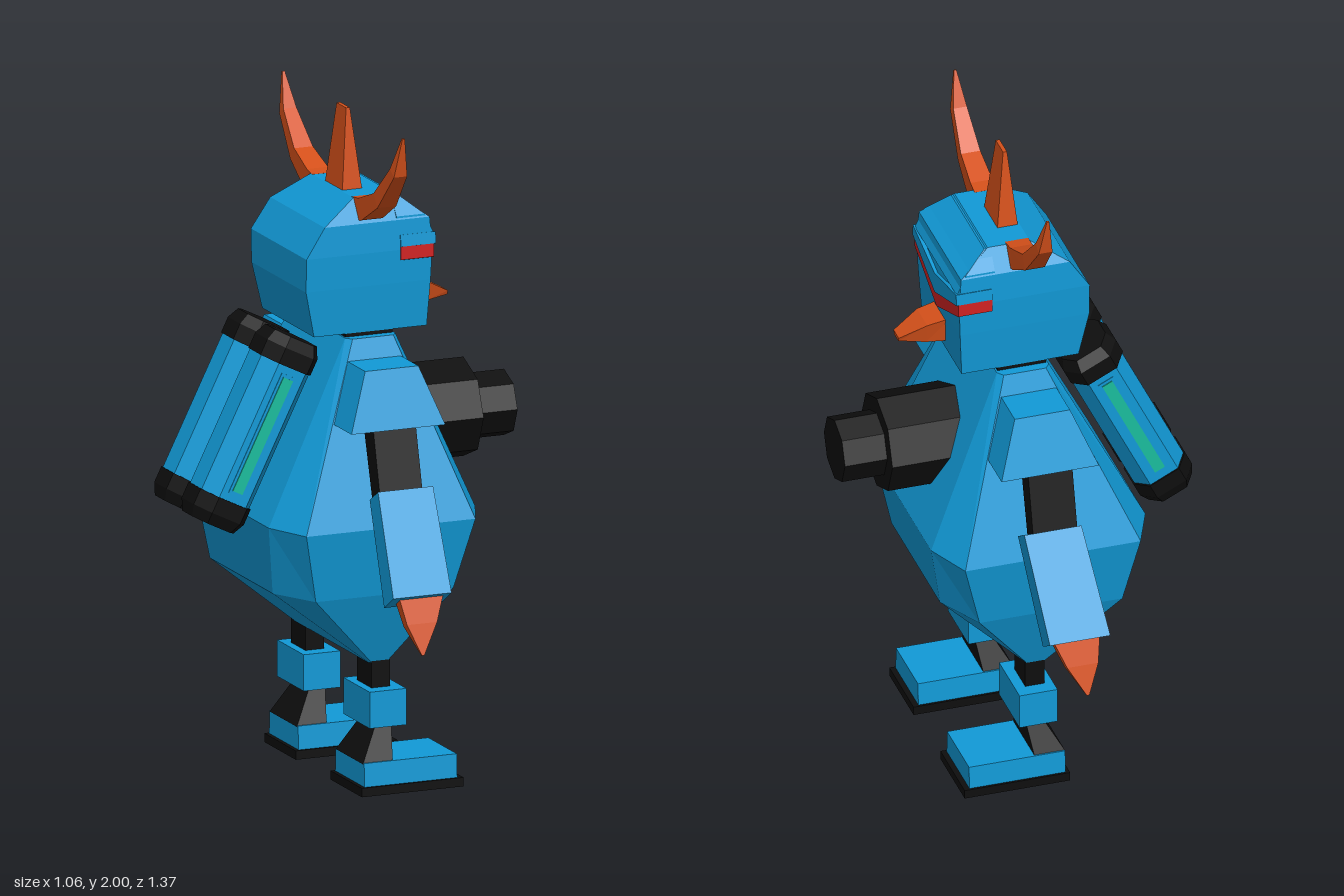
import * as THREE from 'three';

const mat = (color) => new THREE.MeshStandardMaterial({ color, flatShading: true });
const BLUE = mat(0x1199d6), BLACK = mat(0x0e0e0e), ORANGE = mat(0xd4501a), RED = mat(0xd02222), TEAL = mat(0x1abc9c);

// Skin a stack of equal-length rings and cap both ends; winding is fixed by signed volume
function loft(rings) {
  const n = rings[0].length, tris = [], v = (p) => new THREE.Vector3(...p);
  for (let i = 0; i + 1 < rings.length; i++) {
    for (let j = 0; j < n; j++) {
      const k = (j + 1) % n, a = rings[i], b = rings[i + 1];
      tris.push([a[j], a[k], b[k]], [a[j], b[k], b[j]]);
    }
  }
  const top = rings[rings.length - 1];
  for (let j = 1; j + 1 < n; j++) {
    tris.push([rings[0][0], rings[0][j + 1], rings[0][j]], [top[0], top[j], top[j + 1]]);
  }
  const o = v(rings[0][0]);
  let volume = 0;
  for (const [a, b, c] of tris) volume += v(a).sub(o).dot(v(b).sub(o).cross(v(c).sub(o)));
  if (volume < 0) tris.forEach((t) => t.reverse());
  const geometry = new THREE.BufferGeometry();
  geometry.setAttribute('position', new THREE.Float32BufferAttribute(tris.flat(2), 3));
  geometry.computeVertexNormals();
  return geometry;
}

// Horizontal rectangle
const rect = (y, x0, x1, z0, z1) => [[x0, y, z0], [x1, y, z0], [x1, y, z1], [x0, y, z1]];

// Horizontal octagon with cut corners
const octagon = (y, mid, hx, hz, cx, cz) =>
  [[hx, cz], [cx, hz], [-cx, hz], [-hx, cz], [-hx, -cz], [-cx, -hz], [cx, -hz], [hx, -cz]]
    .map(([x, z]) => [mid + x, y, z]);

// Four-sided limb bending in the y-z plane; path points are [x, y, z, halfX, halfThickness]
function limb(path, side) {
  return loft(path.map(([x, y, z, hx, h], i) => {
    const a = path[Math.max(i - 1, 0)], b = path[Math.min(i + 1, path.length - 1)];
    const len = Math.hypot(b[1] - a[1], b[2] - a[2]);
    const ny = -(b[2] - a[2]) / len * h, nz = (b[1] - a[1]) / len * h;
    return [[x - hx, y - ny, side * (z - nz)], [x + hx, y - ny, side * (z - nz)],
      [x + hx, y + ny, side * (z + nz)], [x - hx, y + ny, side * (z + nz)]];
  }));
}

export function createModel() {
  const model = new THREE.Group();
  const add = (name, geometry, material, parent = model) => {
    const mesh = new THREE.Mesh(geometry, material);
    mesh.name = name;
    parent.add(mesh);
    return mesh;
  };
  const group = (name, parent = model) => {
    const g = new THREE.Group();
    g.name = name;
    parent.add(g);
    return g;
  };

  // Faceted body, narrowing to a ridge below
  add('body', loft([
    octagon(0.38, 0.005, 0.025, 0.29, 0.02, 0.27),
    octagon(0.61, -0.015, 0.295, 0.375, 0.22, 0.23),
    octagon(0.82, -0.01, 0.33, 0.41, 0.27, 0.27),
    octagon(1.35, 0.015, 0.08, 0.22, 0.065, 0.2),
  ]), BLUE);
  add('neck', loft([rect(1.33, -0.06, 0.09, -0.19, 0.19), rect(1.37, -0.06, 0.09, -0.19, 0.19)]), BLACK);

  // Head
  const head = group('head');
  add('skull', loft([
    [1.36, -0.16, 0.2, 0.19], [1.5, -0.19, 0.208, 0.2], [1.6, -0.19, 0.212, 0.204],
    [1.69, -0.13, 0.205, 0.2], [1.76, -0.02, 0.11, 0.157],
  ].map(([y, x0, x1, hz]) => rect(y, x0, x1, -hz, hz))), BLUE, head);

  // V-shaped visor and the brow above it, drawn in z-y and extruded along x
  const faceBand = (name, points, x0, x1, material) => {
    const shape = new THREE.Shape(points.map(([z, y]) => new THREE.Vector2(-z, y)));
    const geometry = new THREE.ExtrudeGeometry(shape, { depth: x1 - x0, bevelEnabled: false });
    geometry.rotateY(Math.PI / 2).translate(x0, 0, 0);
    add(name, geometry, material, head);
  };
  faceBand('visor', [[-0.207, 1.57], [0, 1.485], [0.207, 1.57], [0.207, 1.61], [0, 1.535], [-0.207, 1.61]], 0.11, 0.216, RED);
  faceBand('brow', [[-0.208, 1.61], [0, 1.535], [0.208, 1.61], [0.205, 1.645], [0, 1.6], [-0.205, 1.645]], 0.11, 0.222, BLUE);
  add('crownRidge', loft([rect(1.64, 0.1, 0.218, -0.2, 0.2), rect(1.7, 0.1, 0.19, -0.197, 0.197),
    rect(1.757, 0.1, 0.12, -0.157, 0.157)]), BLUE, head);

  // Beak
  add('beak', loft([[0.19, 1.385, 1.47, 0.055, 0.04], [0.26, 1.39, 1.455, 0.05, 0.035], [0.34, 1.4, 1.412, 0.025, 0.02]]
    .map(([x, y0, y1, top, low]) => [[x, y0, -low], [x, y0, low], [x, y1, top], [x, y1, -top]])), ORANGE, head);

  // Horns
  add('middleHorn', loft([rect(1.7, -0.02, 0.055, -0.07, 0.07), rect(2, 0.01, 0.022, -0.035, 0.035)]), ORANGE, head);
  for (const [side, label] of [[1, 'left'], [-1, 'right']]) {
    add(label + 'Horn', limb([
      [0.016, 1.725, 0.15, 0.036, 0.036], [0.016, 1.735, 0.2, 0.034, 0.033], [0.016, 1.785, 0.305, 0.03, 0.024],
      [0.016, 1.89, 0.405, 0.021, 0.018], [0.016, 2, 0.44, 0.004, 0.003],
    ], side), ORANGE, head);

    // Arm: shoulder pad, upper arm, forearm and claw
    const arm = group(label + 'Arm');
    add('shoulderPad', loft([
      rect(1.12, -0.145, 0.155, side * 0.24, side * 0.43),
      rect(1.29, -0.075, 0.095, side * 0.17, side * 0.37),
    ]), BLUE, arm);
    add('upperArm', limb([[0, 1.15, 0.37, 0.068, 0.035], [0, 0.9, 0.44, 0.068, 0.03]], side), BLACK, arm);
    add('forearm', limb([[0.01, 0.93, 0.44, 0.088, 0.036], [-0.015, 0.65, 0.618, 0.093, 0.04]], side), BLUE, arm);
    add('claw', limb([
      [-0.01, 0.665, 0.615, 0.072, 0.018], [-0.02, 0.585, 0.648, 0.048, 0.014], [-0.028, 0.5, 0.685, 0.004, 0.002],
    ], side), ORANGE, arm);

    // Leg and foot
    const leg = group(label + 'Leg');
    const block = (name, material, bottom, top) => add(name, loft([bottom, top].map(([y, x0, x1, hz]) =>
      rect(y, x0, x1, side * 0.242 - hz, side * 0.242 + hz))), material, leg);
    block('thigh', BLACK, [0.19, -0.022, 0.038, 0.052], [0.42, -0.022, 0.038, 0.052]);
    block('knee', BLUE, [0.2, -0.047, 0.07, 0.097], [0.31, -0.047, 0.07, 0.097]);
    block('ankle', BLACK, [0.095, -0.07, 0.025, 0.1], [0.2, -0.01, 0.04, 0.055]);
    block('foot', BLUE, [0.025, -0.068, 0.228, 0.108], [0.098, -0.068, 0.228, 0.104]);
    block('sole', BLACK, [0, -0.08, 0.245, 0.115], [0.027, -0.08, 0.245, 0.115]);

    // Back tank, leaning forward
    const tank = group(label + 'Tank');
    tank.position.set(-0.327, 1.08, side * 0.1);
    tank.rotation.z = -0.46;
    const drum = (name, material, sections) =>
      add(name, loft(sections.map(([y, r]) => octagon(y, 0, r * 0.9, r, r * 0.5, r * 0.45))), material, tank);
    drum('tankShell', BLUE, [[-0.24, 0.094], [0.24, 0.094]]);
    drum('topCap', BLACK, [[0.215, 0.099], [0.265, 0.099], [0.3, 0.082]]);
    drum('bottomCap', BLACK, [[-0.3, 0.082], [-0.265, 0.099], [-0.215, 0.099]]);
    add('lightFrame', new THREE.BoxGeometry(0.052, 0.385, 0.004), BLUE, tank).position.z = side * 0.094;
    add('lightStrip', new THREE.BoxGeometry(0.034, 0.365, 0.006), TEAL, tank).position.z = side * 0.096;
  }

  // Chest cannon pointing along +x
  const cannon = group('chestCannon');
  for (const [name, r, x0, x1] of [['cannonBase', 0.15, 0.05, 0.4], ['cannonMuzzle', 0.1, 0.39, 0.53]]) {
    const geometry = new THREE.CylinderGeometry(r, r, x1 - x0, 8).rotateZ(-Math.PI / 2);
    add(name, geometry, BLACK, cannon).position.set((x0 + x1) / 2, 1.05, 0);
  }
  return model;
}
